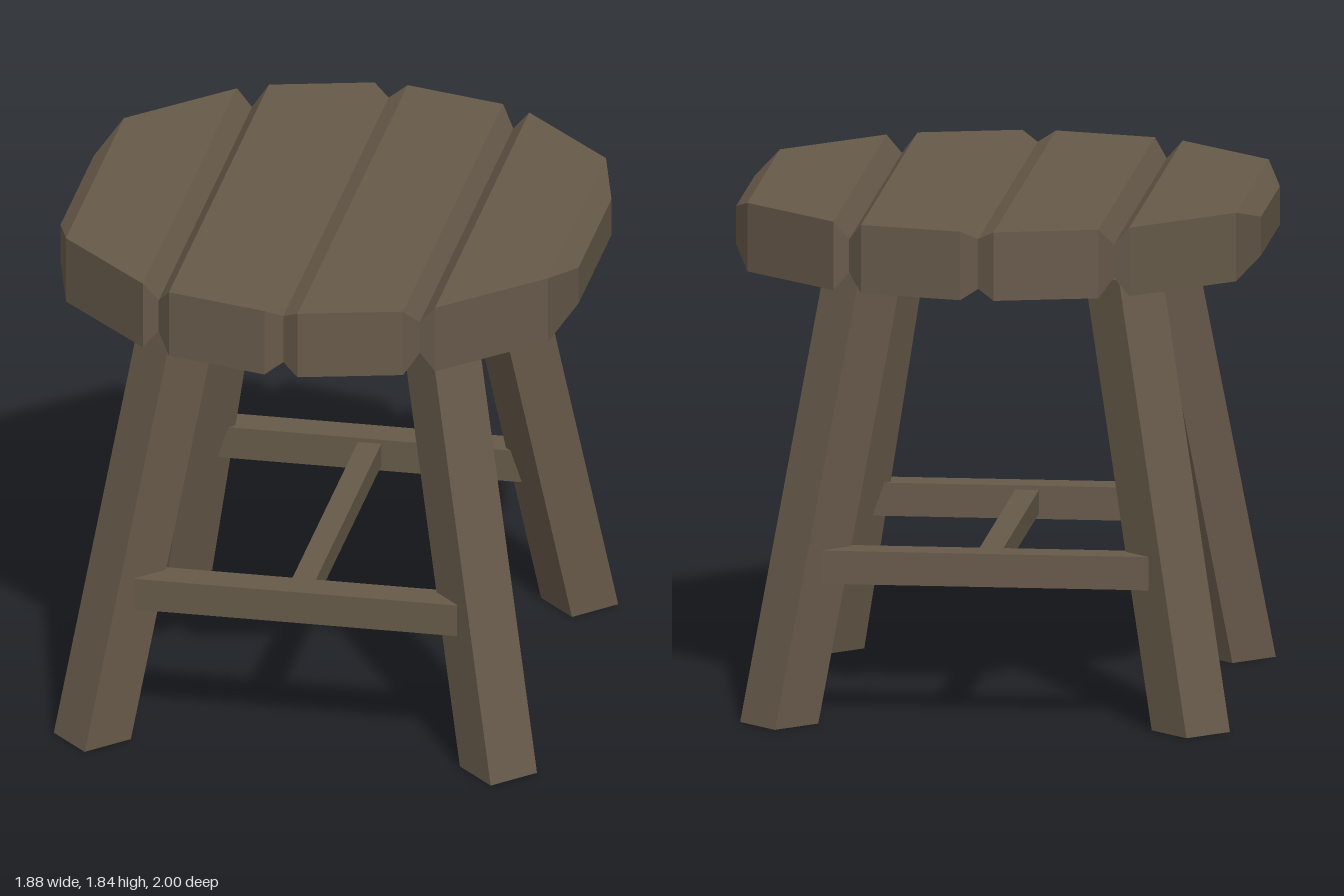
import * as THREE from 'three';

const wood = new THREE.MeshStandardMaterial({ color: 0x665949, flatShading: true });

// Joins four-cornered rings into a closed solid with hard edges.
function loft(rings) {
  const pos = [];
  const quad = (a, b, c, d) => pos.push(...a, ...b, ...c, ...a, ...c, ...d);
  for (let i = 0; i < rings.length - 1; i++) {
    const a = rings[i], b = rings[i + 1];
    for (let j = 0; j < 4; j++) {
      const k = (j + 1) % 4;
      quad(a[j], b[j], b[k], a[k]);
    }
  }
  const end = rings[rings.length - 1];
  quad(...rings[0]);
  quad(end[3], end[2], end[1], end[0]);
  const geo = new THREE.BufferGeometry();
  geo.setAttribute('position', new THREE.Float32BufferAttribute(pos, 3));
  geo.computeVertexNormals();
  return geo;
}

function add(parent, name, geo) {
  const mesh = new THREE.Mesh(geo, wood);
  mesh.name = name;
  parent.add(mesh);
  return mesh;
}

// Plank from sections [x, half length, half thickness]; side -1 mirrors it.
const SEAT_Y = 1.716;
function plank(sections, side) {
  const rings = sections.map(([x, z, h]) => [
    [x * side, SEAT_Y - h, -z], [x * side, SEAT_Y - h, z],
    [x * side, SEAT_Y + h, z], [x * side, SEAT_Y + h, -z],
  ]);
  return loft(side > 0 ? rings : rings.reverse());
}

// Splayed leg: a square post turned 45 degrees, cut level at both ends.
function leg(sx, sz) {
  const r = 0.14;
  return loft([[0, 0.737], [1.6, 0.465]].map(([y, c]) => [
    [sx * c + r, y, sz * c], [sx * c, y, sz * c + r],
    [sx * c - r, y, sz * c], [sx * c, y, sz * c - r],
  ]));
}

export function createModel() {
  const model = new THREE.Group();
  model.name = 'stool';

  // Seat: four bevelled planks running front to back
  const seat = new THREE.Group();
  seat.name = 'seat';
  model.add(seat);
  const inner = [[0, 0.955, 0.09], [0.06, 1, 0.124], [0.425, 0.908, 0.124], [0.474, 0.847, 0.06]];
  const outer = [[0.474, 0.845, 0.06], [0.53, 0.855, 0.124], [0.875, 0.525, 0.124], [0.94, 0.3, 0.07]];
  for (const side of [-1, 1]) {
    const label = side > 0 ? 'left' : 'right';
    add(seat, label + 'InnerPlank', plank(inner, side));
    add(seat, label + 'OuterPlank', plank(outer, side));
  }

  // Legs and the front and back stretchers
  for (const sz of [1, -1]) {
    const end = sz > 0 ? 'front' : 'back';
    add(model, end + 'LeftLeg', leg(1, sz));
    add(model, end + 'RightLeg', leg(-1, sz));
    add(model, end + 'Stretcher', new THREE.BoxGeometry(1.17, 0.12, 0.12))
      .position.set(0, 0.565, sz * 0.67);
  }

  // Middle stretcher joining the other two
  add(model, 'middleStretcher', new THREE.BoxGeometry(0.085, 0.085, 1.3))
    .position.set(0, 0.567, 0);

  return model;
}
